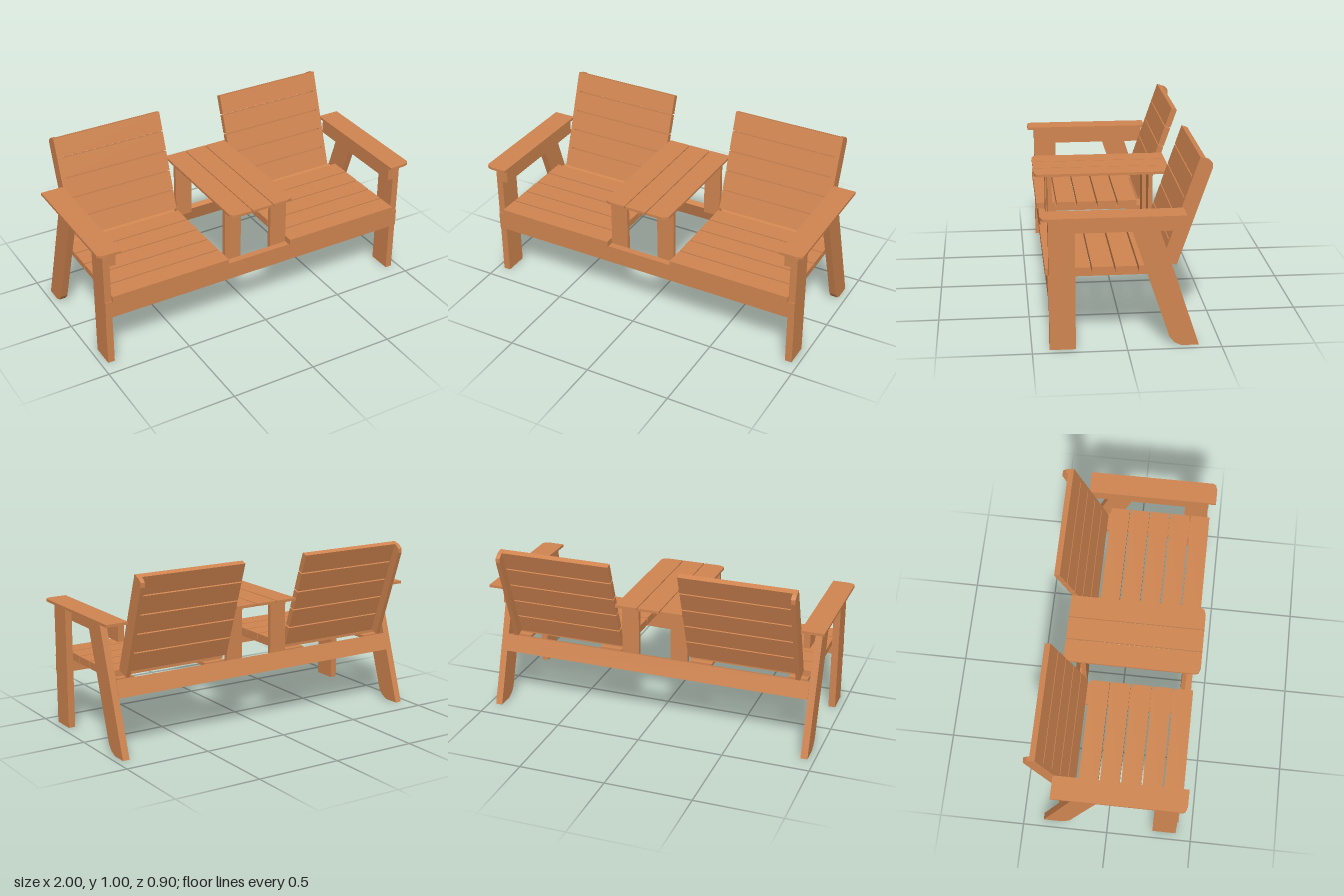
import * as THREE from 'three';

const wood = new THREE.MeshStandardMaterial({ color: 0xd08550, flatShading: true });

function add(parent, name, geometry) {
  const mesh = new THREE.Mesh(geometry, wood);
  mesh.name = name;
  parent.add(mesh);
  return mesh;
}

// Box given by its limits on each axis
function board(parent, name, [x0, x1], [y0, y1], [z0, z1]) {
  const mesh = add(parent, name, new THREE.BoxGeometry(Math.abs(x1 - x0), y1 - y0, z1 - z0));
  mesh.position.set((x0 + x1) / 2, (y0 + y1) / 2, (z0 + z1) / 2);
  return mesh;
}

const shapeOf = (pts) => new THREE.Shape(pts.map(([a, b]) => new THREE.Vector2(a, b)));

// Side profile of [z, y] points, extruded across x
function sidePiece(parent, name, pts, x0, x1) {
  const g = new THREE.ExtrudeGeometry(shapeOf(pts), { depth: Math.abs(x1 - x0), bevelEnabled: false });
  g.rotateY(-Math.PI / 2).translate(Math.max(x0, x1), 0, 0);
  return add(parent, name, g);
}

// Plan outline of [x, z] points, extruded down from the top height
function flatPiece(parent, name, pts, top, thickness) {
  const g = new THREE.ExtrudeGeometry(shapeOf(pts), { depth: thickness, bevelEnabled: false });
  g.rotateX(Math.PI / 2).translate(0, top, 0);
  return add(parent, name, g);
}

// Top board with its front outer corner rounded off
function topBoard(parent, name, s, inner, outer, back) {
  const pts = [[inner, back], [outer, back], [outer, 0.425], [outer - 0.01, 0.441],
    [outer - 0.04, 0.45], [inner, 0.45]];
  return flatPiece(parent, name, pts.map(([x, z]) => [x * s, z]), 0.735, 0.015);
}

function buildSeat(s) {
  const seat = new THREE.Group();
  seat.name = s > 0 ? 'leftSeat' : 'rightSeat';
  const span = (a, b) => [a * s, b * s];

  // legs
  board(seat, 'frontLeg', span(0.92, 0.96), [0, 0.72], [0.27, 0.408]);
  sidePiece(seat, 'backLeg', [[0, 0.72], [-0.145, 0.72], [-0.383, 0], [-0.29, 0],
    [-0.252, 0.018], [-0.225, 0.052]], 0.92 * s, 0.96 * s);

  // arm and the rail beneath it
  topBoard(seat, 'armrest', s, 0.868, 1, -0.303);
  board(seat, 'armRail', span(0.884, 0.92), [0.628, 0.72], [-0.283, 0.408]);

  // seat bearers and slats
  board(seat, 'outerBearer', span(0.79, 0.9), [0.386, 0.405], [-0.215, 0.375]);
  board(seat, 'innerBearer', span(0.21, 0.34), [0.386, 0.405], [-0.215, 0.375]);
  for (let i = 0; i < 5; i++) {
    const front = 0.425 - i * 0.1225;
    board(seat, 'seatSlat', span(0.202, 0.92), [0.405, 0.441], [front - 0.114, front]);
  }

  // leaning back: one outer post and five slats
  sidePiece(seat, 'backPost', [[-0.192, 0.447], [-0.385, 1.005], [-0.43, 0.99],
    [-0.45, 0.97], [-0.45, 0.945], [-0.27, 0.42]], 0.845 * s, 0.87 * s);
  const backrest = new THREE.Group();
  backrest.name = 'backrest';
  backrest.position.set(0, 0.447, -0.192);
  backrest.rotation.x = -Math.atan2(0.193, 0.558);
  for (let i = 0; i < 5; i++) {
    const top = 0.59 - i * 0.1195;
    board(backrest, 'backSlat', span(0.203, 0.846), [top - 0.112, top], [-0.034, 0]);
  }
  seat.add(backrest);

  // table supports on this side
  board(seat, 'frontTableSupport', span(0.097, 0.2), [0.31, 0.72], [0.35, 0.375]);
  board(seat, 'rearTableSupport', span(0.097, 0.2), [0.386, 0.72], [-0.225, -0.2]);
  return seat;
}

export function createModel() {
  const model = new THREE.Group();
  model.name = 'doubleBench';
  for (const s of [1, -1]) {
    model.add(buildSeat(s));
    topBoard(model, 'tableSideBoard', s, 0.07, 0.2, -0.328);
  }
  board(model, 'tableMiddleBoard', [-0.064, 0.064], [0.72, 0.735], [-0.328, 0.45]);

  // long stretchers joining both seats
  board(model, 'frontApron', [-0.96, 0.96], [0.3, 0.405], [0.375, 0.413]);
  sidePiece(model, 'rearStretcher', [[-0.25, 0.398], [-0.282, 0.302], [-0.249, 0.291],
    [-0.217, 0.387]].map(([z, y]) => [z, y + 0.012]), -0.92, 0.92);
  return model;
}
